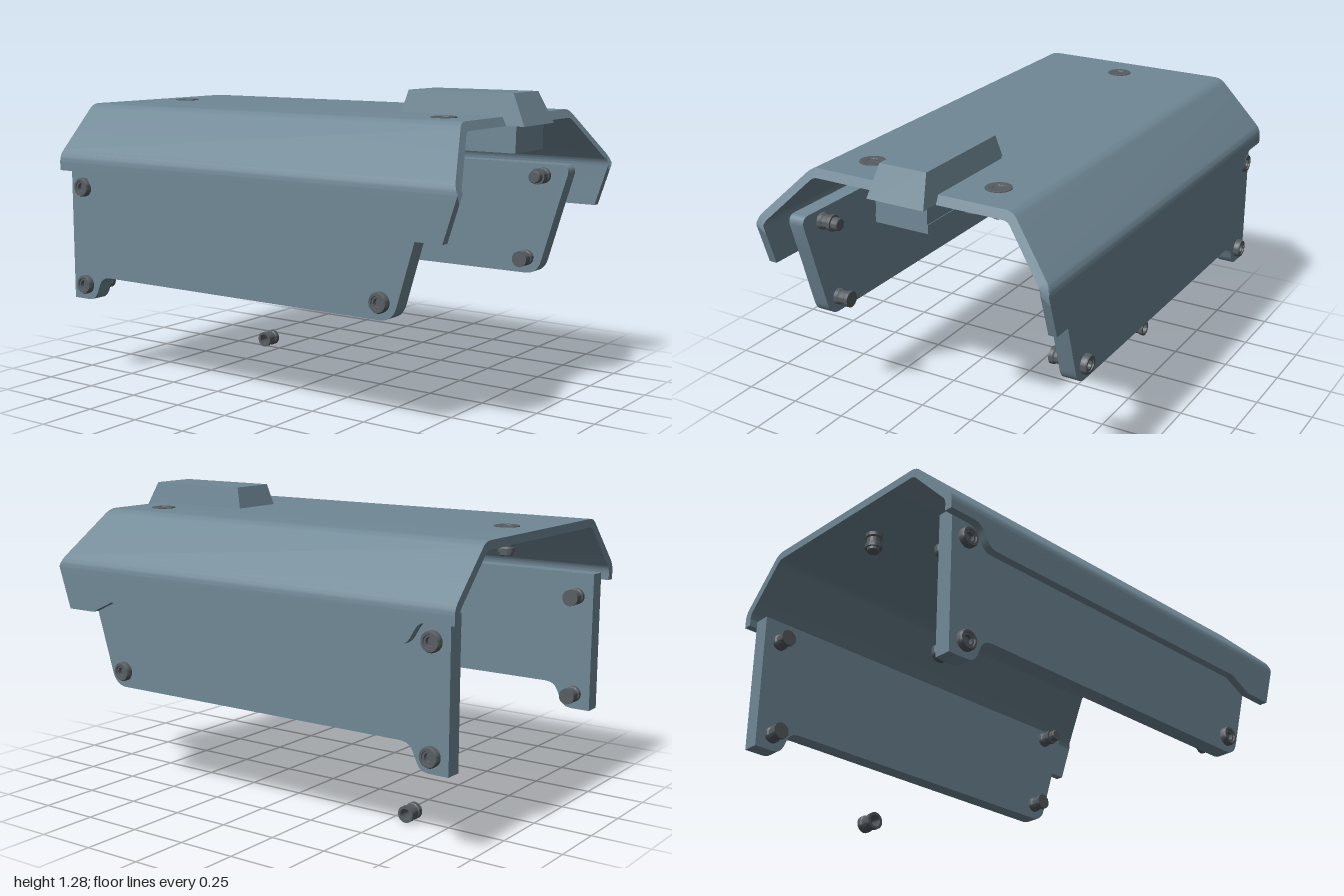
import * as THREE from 'three';
import { toCreasedNormals } from 'three/addons/utils/BufferGeometryUtils.js';

const V = (x, y) => new THREE.Vector2(x, y);

export function createModel() {
  const model = new THREE.Group();
  const panel = new THREE.MeshStandardMaterial({ color: 0x708896 });
  panel.name = 'blueGrey';
  const steel = new THREE.MeshStandardMaterial({ color: 0x565d62 });
  steel.name = 'darkSteel';

  const add = (name, geometry, material, parent = model) => {
    const mesh = new THREE.Mesh(toCreasedNormals(geometry, 0.6), material);
    mesh.name = name;
    parent.add(mesh);
    return mesh;
  };
  const extrude = (shape, depth) =>
    new THREE.ExtrudeGeometry(shape, { depth, bevelEnabled: false, curveSegments: 8 });
  const lathe = (points) => new THREE.LatheGeometry(points.map((p) => V(p[0], p[1])), 28);

  // Front edge of the bent cover: slopes forward to a nose, then back below it
  const frontEdge = (y) => (y > 0.95 ? 1 - (y - 0.95) * 0.465 : 1 - (0.95 - y) * 0.333);

  for (const side of [1, -1]) {
    const tag = side > 0 ? 'left' : 'right';

    // Half of the bent cover: flat top, sloped shoulder, start of the flange
    const s = new THREE.Shape();
    const X = (z) => -side * z;
    s.moveTo(X(0.13), 1.19);
    s.lineTo(X(0.415), 1.19);
    s.quadraticCurveTo(X(0.445), 1.19, X(0.467), 1.168);
    s.lineTo(X(0.633), 0.997);
    s.quadraticCurveTo(X(0.655), 0.975, X(0.655), 0.945);
    s.lineTo(X(0.655), 0.91);
    s.lineTo(X(0.62), 0.91);
    s.lineTo(X(0.62), 0.94);
    s.quadraticCurveTo(X(0.62), 0.96, X(0.606), 0.975);
    s.lineTo(X(0.446), 1.141);
    s.quadraticCurveTo(X(0.432), 1.155, X(0.412), 1.155);
    s.lineTo(X(0.13), 1.155);
    s.closePath();
    const bent = extrude(s, 1).rotateY(Math.PI / 2);
    const p = bent.attributes.position;
    for (let i = 0; i < p.count; i++) p.setX(i, p.getX(i) > 0.5 ? frontEdge(p.getY(i)) : -1);
    add(tag + 'Cover', bent, panel);

    // Lower part of the cover flange
    const f = new THREE.Shape();
    f.moveTo(-0.9, 0.91);
    f.lineTo(-0.88, 0.91);
    f.bezierCurveTo(-0.82, 0.91, -0.83, 0.82, -0.77, 0.82);
    f.lineTo(0.69, 0.82);
    f.lineTo(0.8, 0.768);
    f.lineTo(0.94, 0.768);
    f.lineTo(frontEdge(0.91), 0.91);
    f.closePath();
    add(tag + 'CoverFlange', extrude(f, 0.035).translate(0, 0, side > 0 ? 0.62 : -0.655), panel);

    // Thick side plate
    const b = new THREE.Shape();
    b.moveTo(-0.965, 0.94);
    b.lineTo(-0.965, 0.343);
    b.lineTo(-0.88, 0.343);
    b.bezierCurveTo(-0.8, 0.343, -0.84, 0.45, -0.755, 0.45);
    b.lineTo(0.65, 0.45);
    b.quadraticCurveTo(0.71, 0.45, 0.727, 0.51);
    b.lineTo(0.805, 0.77);
    b.lineTo(0.845, 0.9);
    b.quadraticCurveTo(0.85, 0.94, 0.81, 0.94);
    b.closePath();
    add(tag + 'SidePlate', extrude(b, 0.07).translate(0, 0, side > 0 ? 0.55 : -0.62), panel);
  }

  // Centre strip of the top, ending at the slot for the handle
  add('coverCentre', new THREE.BoxGeometry(1.43, 0.035, 0.26).translate(-0.285, 1.1725, 0), panel);

  // Tapered handle block
  const block = new THREE.BoxGeometry(1, 1, 1);
  const bp = block.attributes.position;
  for (let i = 0; i < bp.count; i++) {
    const top = bp.getY(i) > 0;
    const x = bp.getX(i) > 0 ? (top ? 0.92 : 0.98) : (top ? 0.445 : 0.41);
    bp.setXYZ(i, x, top ? 1.28 : 1.155, Math.sign(bp.getZ(i)) * (top ? 0.103 : 0.126));
  }
  add('handleBlock', block, panel);

  // Latch body beneath the handle, rounded at the rear, in two layers
  const latch = (x1, r) => {
    const l = new THREE.Shape();
    l.moveTo(x1, -r);
    l.lineTo(x1, r);
    l.lineTo(0.44, r);
    l.absarc(0.44, 0, r, Math.PI / 2, Math.PI * 1.5, false);
    l.closePath();
    return l;
  };
  const layer = (name, r, y0, y1) =>
    add(name, extrude(latch(0.94, r), y1 - y0).rotateX(-Math.PI / 2).translate(0, y0, 0), panel);
  layer('latchBody', 0.114, 1.086, 1.156);
  layer('latchPlate', 0.117, 1.05, 1.086);
  add('latchKnob', lathe([[0, 0.945], [0.047, 0.945], [0.051, 0.952], [0.051, 1.018],
    [0.047, 1.022], [0.047, 1.05]]).translate(0.44, 0, 0), panel);
  add('latchPin', new THREE.CylinderGeometry(0.014, 0.014, 0.01, 16).translate(0.845, 1.047, 0), panel);

  // Fastener along +y: head above y = 0, grooved sleeve and tip below the plate
  const fastener = (name, thickness, headRadius, headHeight, sleeve, tip) => {
    const g = new THREE.Group();
    g.name = name;
    if (headRadius) {
      const r = headRadius, h = headHeight;
      add('head', lathe([[r, -0.005], [r, h * 0.7], [r * 0.9, h], [r * 0.68, h], [r * 0.64, h * 0.8],
        [r * 0.45, h * 0.8], [r * 0.42, h * 0.2], [0, h * 0.2]]), steel, g);
    }
    const a = -thickness, e = a - sleeve;
    add('sleeve', lathe([[0, e], [0.035, e], [0.035, e + 0.016], [0.03, e + 0.022],
      [0.03, a - 0.022], [0.035, a - 0.016], [0.035, a]]), steel, g);
    if (tip) add('tip', lathe([[0, e - tip], [0.024, e - tip], [0.027, e - tip + 0.004], [0.027, e]]), steel, g);
    model.add(g);
    return g;
  };

  // Fasteners through the side plates; the upper front ones sit under the cover
  for (const side of [1, -1]) {
    for (const [x, y] of [[-0.89, 0.84], [-0.89, 0.41], [0.655, 0.52]]) {
      const g = fastener('sideBolt', 0.07, 0.041, 0.026, 0.07, 0);
      g.position.set(x, y, side * 0.62);
      g.rotation.x = side * Math.PI / 2;
    }
    const g = fastener('upperBolt', 0.07, 0, 0, 0.064, 0.03);
    g.position.set(0.73, 0.89, side * 0.62);
    g.rotation.x = side * Math.PI / 2;
  }

  // Fasteners through the top
  for (const [x, z] of [[-0.84, 0], [0.72, 0.285], [0.72, -0.285]]) {
    fastener('topBolt', 0.035, 0.052, 0.004, 0.066, 0.015).position.set(x, 1.19, z);
  }

  // Loose hollow sleeve on the ground
  const ring = add('looseSleeve', lathe([[0.024, -0.036], [0.035, -0.036], [0.035, -0.018], [0.031, -0.013],
    [0.031, 0.013], [0.035, 0.018], [0.035, 0.036], [0.024, 0.036], [0.024, -0.036]]), steel);
  ring.rotation.x = Math.PI / 2;
  ring.position.set(-0.578, 0.035, -0.267);

  return model;
}
